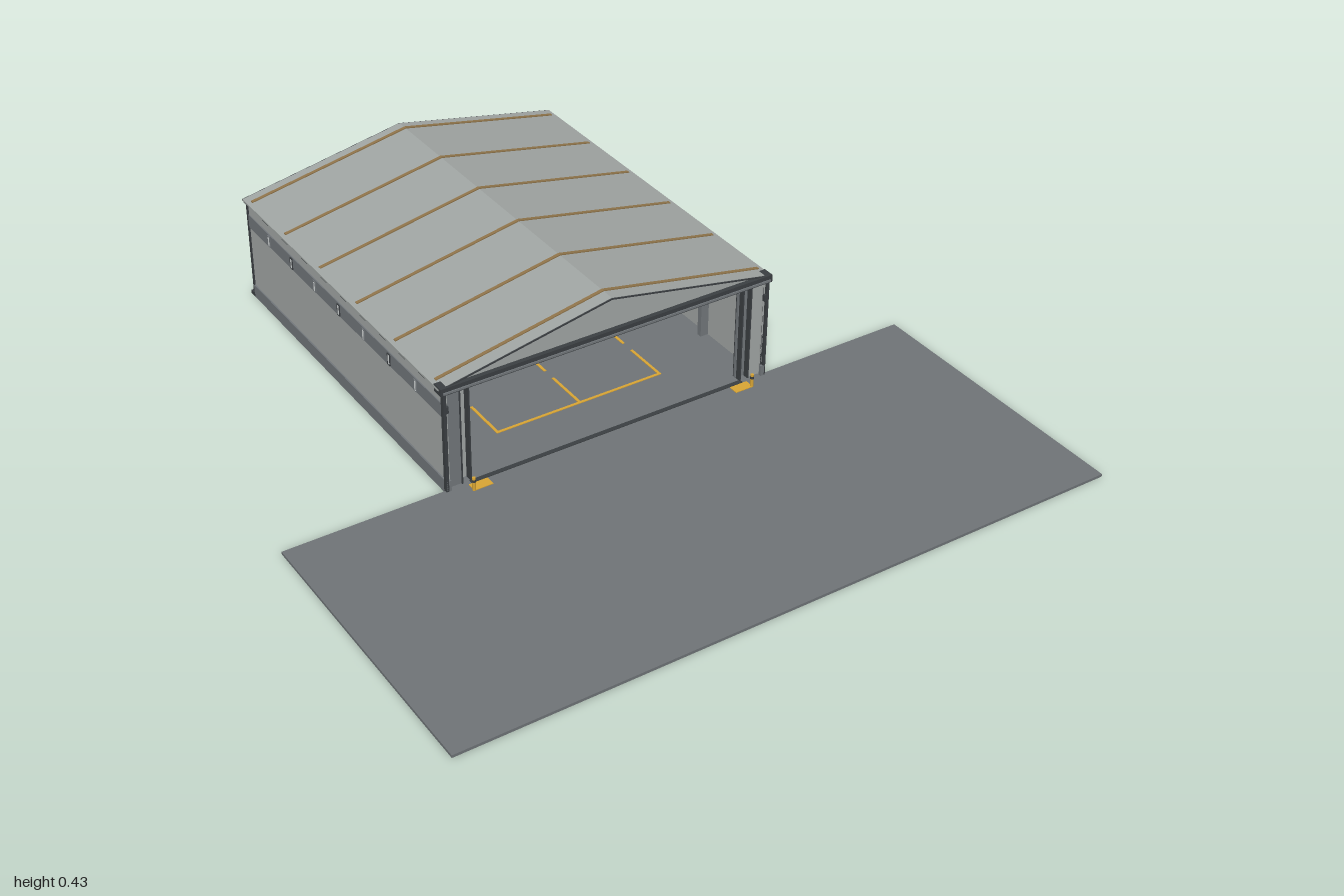
import * as THREE from 'three';

const mat = (name, color) => new THREE.MeshStandardMaterial({ name, color });

export function createModel() {
  const hangar = new THREE.Group();
  hangar.name = 'hangar';
  const M = {
    wall: mat('cladding grey', 0xa2a7a5),
    roof: mat('roof grey', 0xa0a5a3),
    slab: mat('concrete', 0x6f7477),
    band: mat('panel grey', 0x72777b),
    trim: mat('dark trim', 0x3b3f42),
    rib: mat('rib brown', 0x8f744a),
    yellow: mat('safety yellow', 0xd9a534),
    light: mat('pale metal', 0xd0d4d4),
  };

  const add = (name, geo, material, parent = hangar) => {
    const mesh = new THREE.Mesh(geo, material);
    mesh.name = name;
    parent.add(mesh);
    return mesh;
  };
  // box given by its extents
  const box = (name, material, x0, x1, y0, y1, z0, z1, parent = hangar) => {
    const m = add(name, new THREE.BoxGeometry(x1 - x0, y1 - y0, z1 - z0), material, parent);
    m.position.set((x0 + x1) / 2, (y0 + y1) / 2, (z0 + z1) / 2);
    return m;
  };
  // the same box on both sides of x = 0
  const pair = (name, material, x0, x1, y0, y1, z0, z1) => {
    box(name + 'Left', material, x0, x1, y0, y1, z0, z1);
    box(name + 'Right', material, -x1, -x0, y0, y1, z0, z1);
  };
  // outline in the x-y plane pulled along z
  const slice = (name, material, pts, z0, z1) => {
    const shape = new THREE.Shape(pts.map(p => new THREE.Vector2(...p)));
    const geo = new THREE.ExtrudeGeometry(shape, { depth: z1 - z0, bevelEnabled: false });
    add(name, geo, material).position.z = z0;
  };
  // bent strip following both roof slopes
  const chevron = (name, material, w, eave, ridge, t, z0, z1) =>
    slice(name, material, [[-w, eave - t], [0, ridge - t], [w, eave - t], [w, eave], [0, ridge], [-w, eave]], z0, z1);

  // ground slabs
  box('apron', M.slab, -0.97, 0.97, 0, 0.008, 0.15, 1);
  box('floor', M.slab, -0.5, 0.5, 0, 0.008, -0.99, 0.15);
  box('backKerb', M.trim, -0.505, 0.505, 0, 0.012, -1, -0.982);
  box('threshold', M.trim, -0.43, 0.43, 0.006, 0.01, 0.145, 0.158);

  // side walls with base course, window band and mullions
  pair('sideWall', M.wall, 0.49, 0.5, 0.008, 0.325, -0.98, 0.15);
  pair('baseCourse', M.band, 0.499, 0.504, 0, 0.04, -0.98, 0.15);
  pair('windowBand', M.band, 0.499, 0.503, 0.235, 0.276, -0.98, 0.15);
  pair('windowBandInside', M.band, 0.486, 0.491, 0.235, 0.276, -0.98, 0.13);
  for (let i = 0; i < 7; i++) {
    const z = 0.01 - i * 0.142;
    pair('windowFrame', i % 2 ? M.trim : M.band, 0.502, 0.506, 0.238, 0.273, z - 0.007, z + 0.007);
    pair('windowGlint', M.light, 0.505, 0.507, 0.242, 0.27, z - 0.001, z + 0.005);
  }
  pair('frontCorner', M.trim, 0.497, 0.505, 0, 0.325, 0.145, 0.158);
  pair('backCorner', M.trim, 0.496, 0.504, 0, 0.325, -0.985, -0.977);
  pair('eaveGutter', M.trim, 0.5, 0.512, 0.318, 0.326, -0.98, 0.155);

  // gable ends and roof
  slice('backWall', M.wall, [[-0.5, 0.008], [0.5, 0.008], [0.5, 0.322], [0, 0.42], [-0.5, 0.322]], -0.985, -0.975);
  slice('frontGable', M.wall, [[-0.5, 0.31], [0.5, 0.31], [0.5, 0.322], [0, 0.42], [-0.5, 0.322]], 0.137, 0.147);
  chevron('roof', M.roof, 0.513, 0.326, 0.425, 0.006, -0.985, 0.152);
  chevron('frontRoofEdge', M.trim, 0.513, 0.325, 0.424, 0.004, 0.152, 0.155);
  chevron('backRoofEdge', M.trim, 0.513, 0.325, 0.424, 0.004, -0.988, -0.985);
  box('doorHeader', M.trim, -0.512, 0.512, 0.308, 0.33, 0.125, 0.16);
  box('doorTrackLip', M.band, -0.505, 0.505, 0.312, 0.318, 0.159, 0.163);

  // portal frames: roof ribs, rafters and wall columns
  for (let i = 0; i < 6; i++) {
    const z = 0.11 - i * 0.212;
    chevron('roofRib', M.rib, 0.5, 0.331, 0.428, 0.005, z - 0.005, z + 0.005);
    chevron('rafter', M.trim, 0.49, 0.32, 0.415, 0.02, z - 0.008, z + 0.008);
    pair('column', M.band, 0.465, 0.49, 0.008, 0.32, z - 0.008, z + 0.008);
  }

  // stacked sliding doors beside the opening
  for (const s of [-1, 1]) {
    const doors = new THREE.Group();
    doors.name = s > 0 ? 'doorStackLeft' : 'doorStackRight';
    hangar.add(doors);
    const leaf = (m, a, b, z) =>
      box('doorLeaf', m, Math.min(s * a, s * b), Math.max(s * a, s * b), 0.012, 0.31, z, z + 0.008, doors);
    if (s < 0) {
      leaf(M.band, 0.45, 0.497, 0.14);
      leaf(M.wall, 0.428, 0.47, 0.12);
    } else {
      leaf(M.wall, 0.458, 0.495, 0.14);
      leaf(M.band, 0.422, 0.465, 0.125);
    }
    for (const x of [0.427, 0.453, 0.494])
      box('doorPost', M.trim, s * x - 0.002, s * x + 0.002, 0.01, 0.31, 0.118, 0.15, doors);
    box('wallLamp', M.trim, s * 0.494 - 0.004, s * 0.494 + 0.004, 0.25, 0.27, 0.147, 0.158, doors);
    box('guardPost', M.band, s * 0.496 - 0.006, s * 0.496 + 0.006, 0, 0.04, 0.147, 0.158, doors);
    // yellow bollard and painted ground plate
    const bollard = add('bollard', new THREE.CylinderGeometry(0.005, 0.005, 0.04, 10), M.yellow, doors);
    bollard.position.set(s * 0.44, 0.028, 0.186);
    const cap = add('bollardCap', new THREE.CylinderGeometry(0.0053, 0.0053, 0.008, 10), M.trim, doors);
    cap.position.set(s * 0.44, 0.038, 0.186);
    box('groundPlate', M.yellow, s * 0.413 - 0.028, s * 0.413 + 0.028, 0.007, 0.01, 0.16, 0.19, doors);
  }

  // floor markings
  for (const x of [-0.26, 0, 0.26])
    for (let z = 0; z > -0.85; z -= 0.18)
      box('bayLine', M.yellow, x - 0.004, x + 0.004, 0.008, 0.01, z - 0.14, z);
  for (const z of [0, -0.36, -0.88])
    box('crossLine', M.yellow, -0.264, 0.264, 0.008, 0.01, z - 0.004, z + 0.004);

  // storage rack
  const rack = new THREE.Group();
  rack.name = 'storageRack';
  hangar.add(rack);
  for (const x of [-0.427, -0.387, -0.347, -0.309])
    for (const z of [-0.62, -0.56])
      box('rackPost', M.trim, x - 0.002, x + 0.002, 0.008, 0.096, z - 0.002, z + 0.002, rack);
  for (const y of [0.02, 0.045, 0.07, 0.093]) {
    box('shelf', M.trim, -0.428, -0.307, y - 0.002, y + 0.002, -0.622, -0.558, rack);
    if (y < 0.09)
      for (const x of [-0.407, -0.367, -0.328])
        box('crate', M.band, x - 0.014, x + 0.014, y + 0.002, y + 0.017, -0.61, -0.565, rack);
  }

  // service cart
  const cart = new THREE.Group();
  cart.name = 'serviceCart';
  hangar.add(cart);
  box('cartBody', M.yellow, 0.285, 0.347, 0.02, 0.052, -0.5, -0.42, cart);
  box('cartTop', M.trim, 0.284, 0.348, 0.052, 0.056, -0.501, -0.419, cart);
  for (const x of [0.294, 0.338])
    for (const z of [-0.485, -0.435]) {
      const wheel = add('cartWheel', new THREE.CylinderGeometry(0.008, 0.008, 0.008, 12), M.trim, cart);
      wheel.rotation.z = Math.PI / 2;
      wheel.position.set(x, 0.016, z);
    }
  return hangar;
}
